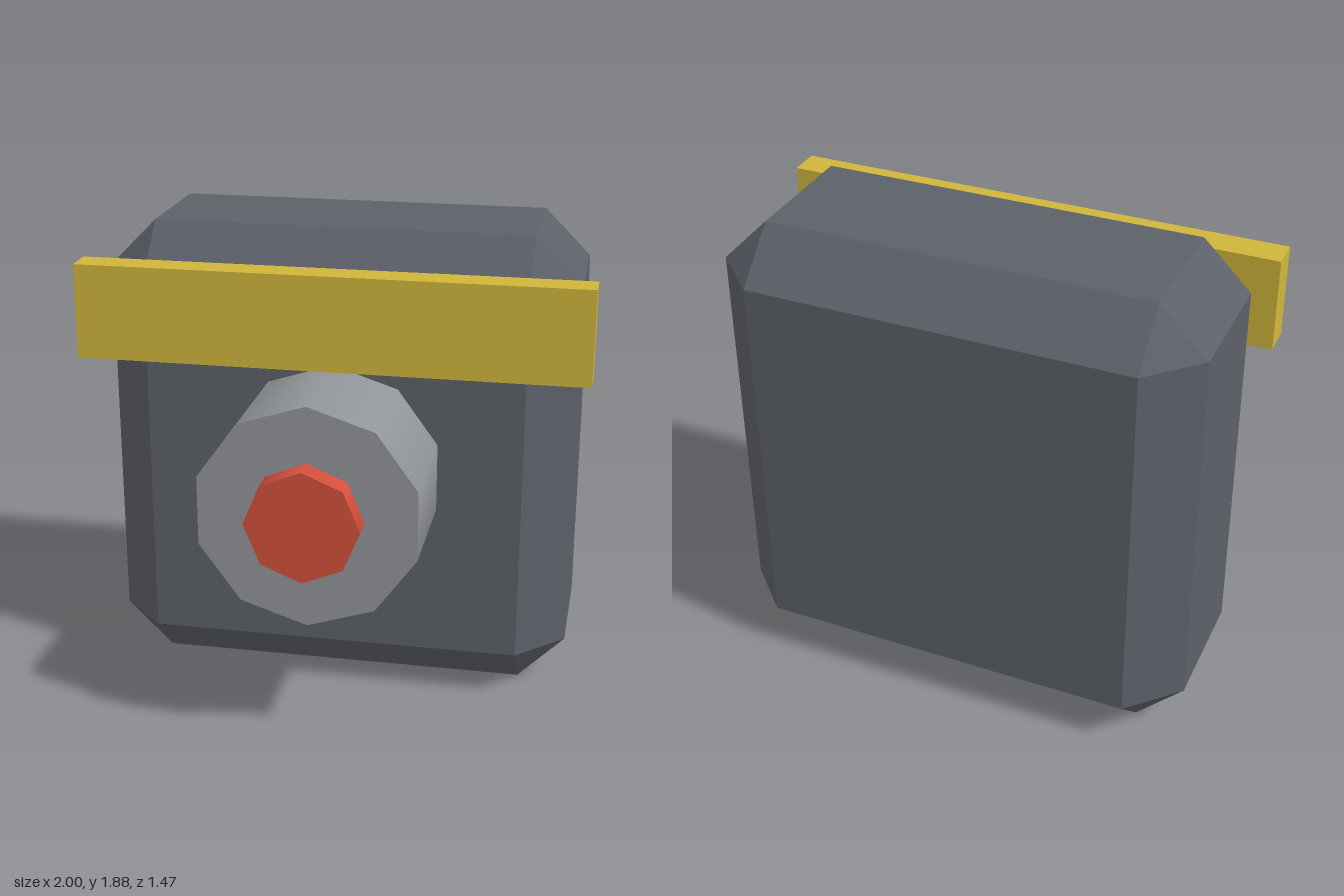
import * as THREE from 'three';
import { ConvexGeometry } from 'three/addons/geometries/ConvexGeometry.js';

function makeMaterial(name, color) {
  const material = new THREE.MeshStandardMaterial({ color });
  material.name = name;
  return material;
}

// Box with every edge and corner cut off by the same amount
function chamferedBox(width, height, depth, cut) {
  const [x, y, z] = [width / 2, height / 2, depth / 2];
  const points = [];
  for (const sx of [-1, 1]) for (const sy of [-1, 1]) for (const sz of [-1, 1]) {
    points.push(
      new THREE.Vector3(sx * x, sy * (y - cut), sz * (z - cut)),
      new THREE.Vector3(sx * (x - cut), sy * y, sz * (z - cut)),
      new THREE.Vector3(sx * (x - cut), sy * (y - cut), sz * z)
    );
  }
  return new ConvexGeometry(points);
}

// Cylinder along z between two depths
function zCylinder(radius, back, front, sides) {
  return new THREE.CylinderGeometry(radius, radius, front - back, sides)
    .rotateX(Math.PI / 2)
    .translate(0, 0, (front + back) / 2);
}

export function createModel() {
  const model = new THREE.Group();
  const darkGrey = makeMaterial('dark grey', 0x5c6068);
  const lightGrey = makeMaterial('light grey', 0x929599);
  const gold = makeMaterial('gold', 0xcfb53b);
  const red = makeMaterial('red', 0xd4503c);

  function add(name, geometry, material, x, y, z) {
    const mesh = new THREE.Mesh(geometry, material);
    mesh.name = name;
    mesh.position.set(x, y, z);
    model.add(mesh);
  }

  // Main block
  add('body', chamferedBox(1.875, 1.875, 0.875, 0.1875), darkGrey, 0, 0.9375, -0.297);
  // Crossbar across the upper front
  add('crossbar', new THREE.BoxGeometry(2, 0.375, 0.125), gold, 0, 1.5625, 0.172);
  // Barrel and its protruding tip
  add('barrel', zCylinder(0.4375, 0.1, 0.64, 10), lightGrey, 0, 0.9375, 0);
  add('barrelTip', zCylinder(0.219, 0.6, 0.735, 8), red, 0, 0.9375, 0);

  return model;
}
